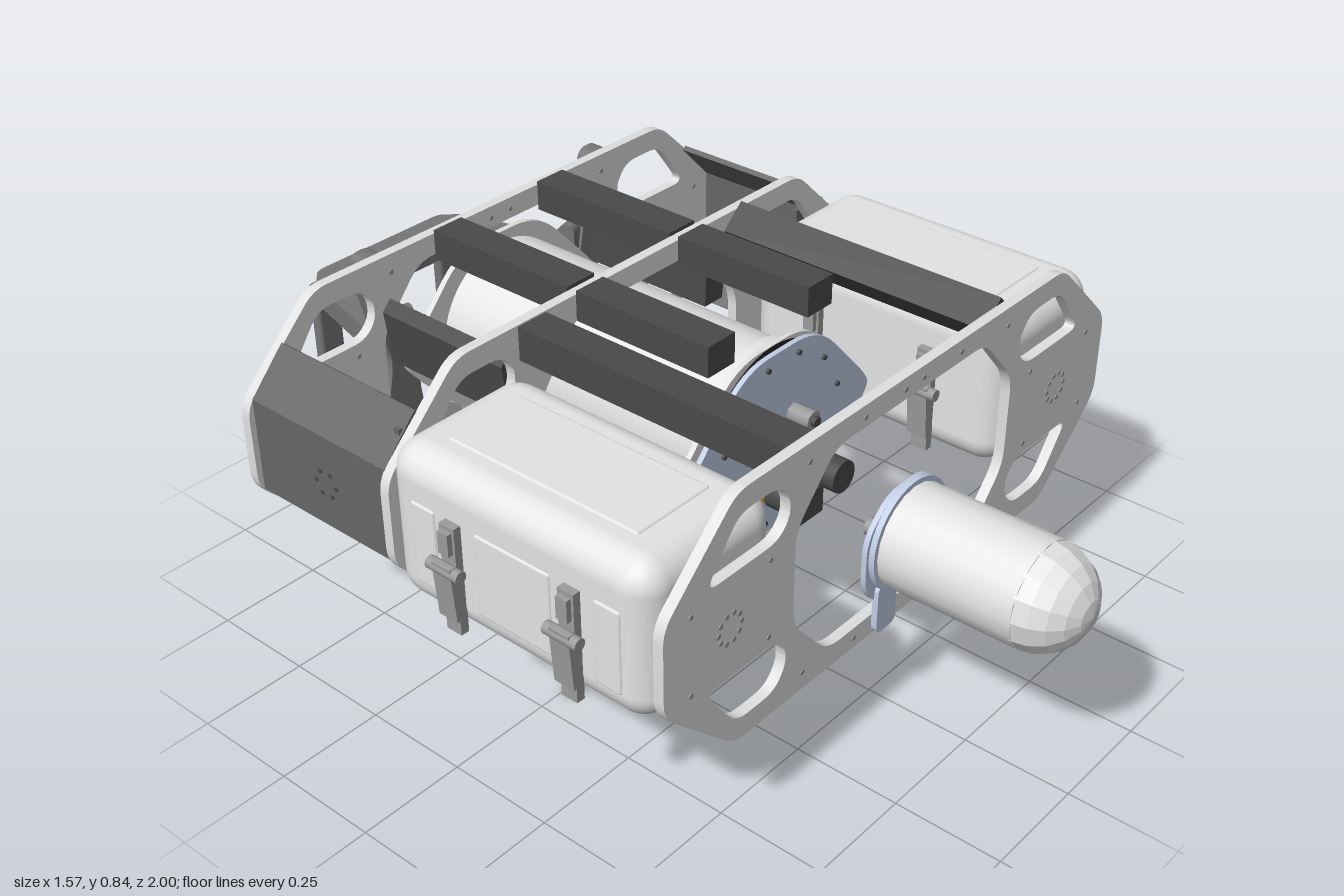
import * as THREE from 'three';
import { toCreasedNormals } from 'three/addons/utils/BufferGeometryUtils.js';
import { RoundedBoxGeometry } from 'three/addons/geometries/RoundedBoxGeometry.js';

const paint = (name, color) => Object.assign(new THREE.MeshStandardMaterial({ color }), { name });
const CY = 0.537; // height of the hull axis

// Closed outline with rounded corners
function rounded(points, r, Type = THREE.Shape) {
  const shape = new Type();
  const v = points.map(([x, y]) => new THREE.Vector2(x, y));
  v.forEach((p, i) => {
    const a = v[(i + v.length - 1) % v.length], b = v[(i + 1) % v.length];
    const cut = (q) => p.clone().lerp(q, Math.min(0.45, r / p.distanceTo(q)));
    const s = cut(a), e = cut(b);
    if (i) shape.lineTo(s.x, s.y); else shape.moveTo(s.x, s.y);
    shape.quadraticCurveTo(p.x, p.y, e.x, e.y);
  });
  shape.closePath();
  return shape;
}
const polygon = (pts) => new THREE.Shape(pts.map(([x, y]) => new THREE.Vector2(x, y)));
const mirrorX = (pts) => pts.map(([x, y]) => [-x, y]);
const mirrorY = (pts) => pts.map(([x, y]) => [x, 2 * CY - y]);
const octagon = (w, h, cx, cy) => [
  [w, CY + cy], [cx, CY + h], [-cx, CY + h], [-w, CY + cy],
  [-w, CY - cy], [-cx, CY - h], [cx, CY - h], [w, CY - cy]];

// Extrusion centred on its thickness, along z, y or x
function slab(shape, depth, axis = 'z') {
  const g = new THREE.ExtrudeGeometry(shape, { depth, bevelEnabled: false, curveSegments: 6 });
  g.translate(0, 0, -depth / 2);
  if (axis === 'y') g.rotateX(Math.PI / 2);  // outline is (x, z)
  if (axis === 'x') g.rotateY(-Math.PI / 2); // outline is (z, y)
  return toCreasedNormals(g, 0.4);
}
const rod = (r, len, axis = 'y', seg = 20) => {
  const g = new THREE.CylinderGeometry(r, r, len, seg);
  if (axis === 'z') g.rotateX(Math.PI / 2);
  if (axis === 'x') g.rotateZ(Math.PI / 2);
  return g;
};
const box = (w, h, d) => new THREE.BoxGeometry(w, h, d);

export function createModel() {
  const model = new THREE.Group();
  model.name = 'underwaterVehicle';
  const light = paint('lightGrey', 0xe4e4e4), frame = paint('frameGrey', 0xe0e0e0);
  const blue = paint('paleBlue', 0xc2cde6), dark = paint('railGrey', 0x4a4a4a);
  const grip = paint('handleGrey', 0x767676), metal = paint('metalGrey', 0x9c9c9c);
  const black = paint('black', 0x101010), orange = paint('orange', 0xd0941c);
  const panelGrey = paint('panelGrey', 0x666666);
  panelGrey.side = THREE.DoubleSide;
  const add = (name, geo, mat, x = 0, y = 0, z = 0, parent = model) => {
    const m = new THREE.Mesh(geo, mat);
    m.name = name;
    m.position.set(x, y, z);
    parent.add(m);
    return m;
  };

  // Three frame plates with corner slots and a central opening
  const slot = [[0.625, 0.655], [0.535, 0.777], [0.42, 0.777], [0.385, 0.735], [0.385, 0.69], [0.42, 0.655]];
  const slots = [slot, mirrorX(slot), mirrorY(slot), mirrorX(mirrorY(slot))];
  const plate = (name, z, opening) => {
    const s = rounded(octagon(0.739, 0.29, 0.54, 0.1), 0.035);
    s.holes = slots.map((p) => rounded(p, 0.035, THREE.Path));
    s.holes.push(rounded(opening, 0.04, THREE.Path));
    add(name, slab(s, 0.024), frame, 0, 0, z);
  };
  const wide = octagon(0.365, 0.24, 0.25, 0.11);
  plate('frontPlate', 0.55, wide);
  plate('middlePlate', -0.157, octagon(0.32, 0.24, 0.2, 0.08));
  plate('rearPlate', -0.58, wide);

  // Bolt holes on the outer plates
  const bolt = new THREE.CylinderGeometry(0.006, 0.006, 0.028, 8).rotateX(Math.PI / 2);
  for (const z of [0.55, -0.58]) for (const s of [-1, 1]) {
    for (let i = 0; i < 10; i++) {
      const a = i * Math.PI / 5;
      add('boltHole', bolt, metal, s * 0.555 + 0.033 * Math.cos(a), 0.535 + 0.033 * Math.sin(a), z);
    }
    for (const [x, y] of [[0.665, 0.625], [0.665, 0.445], [0.44, 0.625], [0.44, 0.445], [0.33, 0.785], [0.33, 0.29],
      [0.16, 0.8], [0.03, 0.8], [0.16, 0.272]])
      add('boltHole', bolt, metal, s * x, y, z);
  }

  // Main pressure hull
  add('hullTube', rod(0.192, 0.78, 'z', 48), light, 0, CY, -0.18);
  add('hullFlange', rod(0.208, 0.04, 'z', 48), light, 0, CY, 0.19);
  add('hullSeal', rod(0.215, 0.014, 'z', 48), black, 0, CY, 0.221);
  const hex = () => rounded(octagon(0.305, 0.215, 0.12, 0.015), 0.08);
  const clamp = hex();
  clamp.holes.push(new THREE.Path().absarc(0, CY, 0.19, 0, Math.PI * 2));
  add('hullClamp', slab(clamp, 0.012), frame, 0, 0, 0.207);
  add('hullFrontCap', slab(hex(), 0.012), blue, 0, 0, 0.234);
  add('hullRearCap', slab(hex(), 0.014), frame, 0, 0, -0.578);
  for (let i = 0; i < 12; i++) {
    const a = (i + 0.5) * Math.PI / 6;
    add('capBolt', rod(0.006, 0.01, 'z', 8), dark, 0.195 * Math.cos(a), CY + 0.195 * Math.sin(a), 0.242);
  }
  for (const s of [-1, 1]) {
    add('connectorCollar', rod(0.034, 0.05, 'z'), orange, s * 0.065, 0.46, 0.262);
    add('connector', rod(0.038, 0.08, 'z'), dark, s * 0.065, 0.46, 0.32);
    add('capPort', rod(0.023, 0.06, 'z', 8), metal, s * 0.04, 0.585, 0.265);
    add('capPortTip', rod(0.012, 0.03, 'z', 8), dark, s * 0.04, 0.585, 0.29);
  }

  // Camera pod with faceted dome and its blue bracket
  const pod = new THREE.Group();
  pod.name = 'cameraPod';
  pod.position.set(0, 0.45, 0);
  model.add(pod);
  add('podBody', rod(0.117, 0.32, 'z', 20), light, 0, 0, 0.728, pod);
  const dome = new THREE.SphereGeometry(0.117, 14, 5, 0, Math.PI * 2, 0, Math.PI / 2).rotateX(Math.PI / 2).toNonIndexed();
  dome.computeVertexNormals();
  add('podDome', dome, light, 0, 0, 0.884, pod);
  add('podFlange', rod(0.128, 0.014, 'z', 32), blue, 0, 0, 0.572, pod);
  add('podBracket', slab(rounded([[0.135, -0.08], [0.135, 0.05], [0.06, 0.12], [-0.06, 0.12], [-0.135, 0.05],
    [-0.135, -0.08], [-0.08, -0.135], [0.08, -0.135]], 0.04), 0.012), blue, 0, 0, 0.56, pod);
  for (const s of [-1, 1]) {
    add('bracketLeg', slab(rounded([[0.035, -0.2], [0.1, -0.2], [0.1, -0.08], [0.035, -0.08]].map(([x, y]) => [s * x, y]),
      0.02), 0.014), blue, 0, 0, 0.569, pod);
    add('podPort', rod(0.02, 0.06, 'z', 8), metal, s * 0.03, 0, 0.525, pod);
  }

  for (const s of [-1, 1]) {
    // Outer rails; the front left one is turned on edge, the rear ones sit lower beside the hull
    const front = add('outerRailFront', box(0.08, 0.078, 0.683), dark, s * 0.33, 0.785, 0.197);
    if (s > 0) front.rotation.z = -0.85;
    add('outerRailRear', slab(polygon([[0.34, 0.725], [0.29, 0.675], [0.285, 0.57], [0.345, 0.57], [0.363, 0.7]]
      .map(([x, y]) => [s * x, y])), 0.36), dark, 0, 0, -0.388);

    // Inner rails joining the plates
    for (const [z0, z1] of [[-0.145, 0.21], [-0.568, -0.17]]) for (const y of [0.8, 0.27])
      add('innerRail', box(0.082, 0.07, z1 - z0), dark, s * 0.16, y, (z0 + z1) / 2);

    // Bent side panel around the rear bay
    add('rearSidePanel', slab(polygon([[0.635, 0.745], [0.725, 0.65], [0.725, 0.43], [0.635, 0.335], [0.625, 0.343],
      [0.715, 0.436], [0.715, 0.644], [0.625, 0.737]].map(([x, y]) => [s * x, y])), 0.4), panelGrey, 0, 0, -0.368);
    add('panelTab', box(0.1, 0.03, 0.014), panelGrey, s * 0.625, 0.7, -0.18);
    for (let i = 0; i < 6; i++)
      add('panelBolt', rod(0.005, 0.004, 'x', 8), dark, s * 0.725, 0.535 + 0.03 * Math.sin(i * Math.PI / 3),
        -0.355 + 0.03 * Math.cos(i * Math.PI / 3));

    // Side cases with raised panels and latches
    const side = new THREE.Group();
    side.name = s > 0 ? 'leftCase' : 'rightCase';
    model.add(side);
    add('caseBody', new RoundedBoxGeometry(0.37, 0.36, 0.68, 4, 0.065), light, s * 0.56, 0.56, 0.192, side);
    add('caseLidPanel', new RoundedBoxGeometry(0.2, 0.014, 0.485, 2, 0.006), light, s * 0.56, 0.737, 0.192, side);
    add('caseSidePanel', new RoundedBoxGeometry(0.014, 0.19, 0.195, 2, 0.006), light, s * 0.742, 0.54, 0.197, side);
    for (const z of [0.435, -0.04])
      add('caseRib', new RoundedBoxGeometry(0.014, 0.19, 0.065, 2, 0.006), light, s * 0.742, 0.54, z, side);
    for (const z of [0.35, 0.043]) for (const [x, d] of [[0.745, s], [0.375, -s]]) {
      add('latchPlate', box(0.02, 0.25, 0.04), metal, s * x + d * 0.008, 0.51, z, side);
      add('latchLever', box(0.014, 0.13, 0.05), metal, s * x + d * 0.028, 0.49, z, side).rotation.z = -d * 0.08;
      add('latchPivot', rod(0.014, 0.085, 'z', 12), metal, s * x + d * 0.028, 0.54, z, side);
      add('latchHook', box(0.016, 0.05, 0.028), metal, s * x + d * 0.022, 0.6, z, side);
    }

    // Handle upright, side web and rear post
    add('handleUpright', slab(rounded([[0.325, 0.825], [0.385, 0.825], [0.385, 0.76], [0.33, 0.55], [0.385, 0.29],
      [0.385, 0.245], [0.22, 0.245], [0.25, 0.4], [0.27, 0.57]].map(([x, y]) => [s * x, y]), 0.025), 0.045), grip, 0, 0, -0.612);
    const web = add('handleWeb', slab(rounded([[-0.62, 0.66], [-0.655, 0.66], [-0.71, 0.58], [-0.89, 0.57], [-0.84, 0.52],
      [-0.83, 0.43], [-0.84, 0.34], [-0.89, 0.26], [-0.62, 0.26]], 0.03), 0.05, 'x'), grip, s * 0.445, 0, 0);
    web.rotation.y = s * 0.27;
    add('handleRearPost', new RoundedBoxGeometry(0.07, 0.29, 0.03, 2, 0.01), grip, s * 0.195, 0.42, -0.983);
  }

  // Handle loops, upper and lower
  const loop = (name, y, h, inner) => {
    const half = [[0.335, -0.6], [0.24, -0.95], [0.195, -1]];
    const s = rounded([...half, ...mirrorX(half).reverse(), ...mirrorX(inner), ...inner.slice().reverse()], 0.02);
    add(name, slab(s, h, 'y'), grip, 0, y, 0);
  };
  loop('upperHandle', 0.556, 0.056, [[0.235, -0.6], [0.165, -0.87], [0.14, -0.9]]);
  loop('lowerHandle', 0.288, 0.086, [[0.12, -0.6], [0.125, -0.66], [0.16, -0.72], [0.16, -0.8], [0.125, -0.86], [0.12, -0.9]]);

  // Ports and connectors below the left case
  for (const z of [0.42, 0.325, 0.235]) for (const x of [0.575, 0.635]) {
    add('casePort', rod(0.022, 0.045, 'y', 8), metal, x, 0.365, z);
    add('casePortTip', rod(0.016, 0.03, 'y', 8), light, x, 0.335, z);
  }
  for (const x of [0.47, 0.62]) add('caseConnectorCollar', rod(0.034, 0.06), orange, x, 0.365, -0.02);
  add('caseConnector', rod(0.04, 0.075), dark, 0.47, 0.305, -0.02);
  add('caseToggle', rod(0.008, 0.04, 'y', 8), black, -0.525, 0.385, 0.1);

  // Release unit with hanging shackle
  add('releaseBody', box(0.08, 0.105, 0.225), metal, -0.168, 0.17, 0.03);
  add('releaseMount', box(0.075, 0.03, 0.225), dark, -0.168, 0.228, 0.03);
  add('releasePort', rod(0.02, 0.07, 'z', 12), metal, -0.168, 0.153, 0.175);
  add('releaseGuide', box(0.03, 0.09, 0.012), black, -0.168, 0.17, -0.09);
  const link = [[-0.027, 0.1], [0.027, 0.1], [0.034, 0.02], [0.02, 0.008], [-0.02, 0.008], [-0.034, 0.02]]
    .map(([x, y]) => new THREE.Vector3(x, y, 0));
  add('shackle', new THREE.TubeGeometry(new THREE.CatmullRomCurve3(link, true, 'catmullrom', 0.3), 40, 0.011, 8, true),
    black, -0.168, 0.003, -0.055);
  return model;
}
